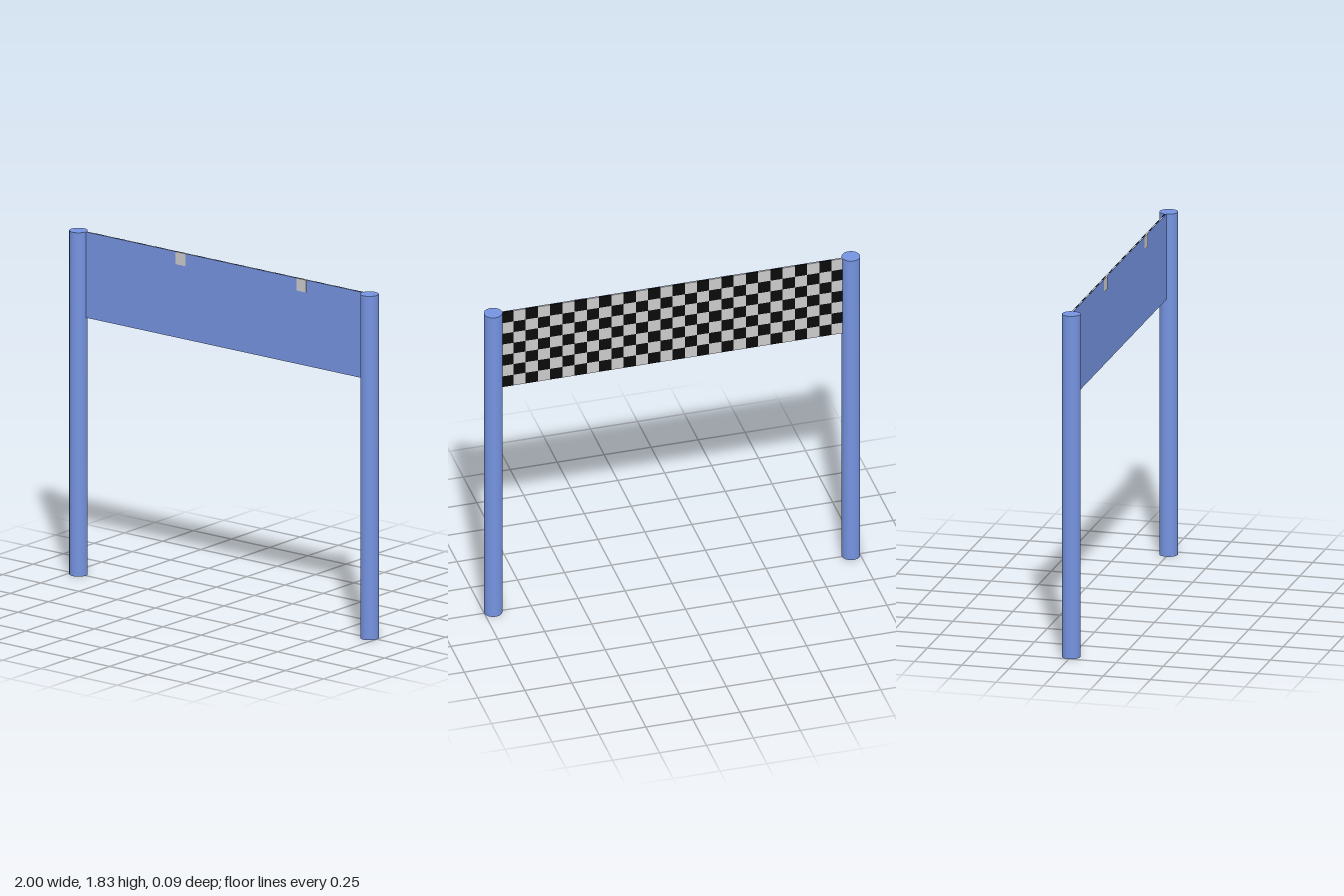
import * as THREE from 'three';
import { mergeGeometries } from 'three/addons/utils/BufferGeometryUtils.js';

const TOP = 1.828, BOTTOM = 1.372;
const COLS = 28, ROWS = 7, HALF = 0.912;
const POST_R = 0.0475;

export function createModel() {
  const model = new THREE.Group();
  model.name = 'finishGate';
  const blue = new THREE.MeshStandardMaterial({ color: 0x7593e0 });
  const black = new THREE.MeshStandardMaterial({ color: 0x0a0a0a });
  const light = new THREE.MeshStandardMaterial({ color: 0xcccccc });

  const add = (name, geometry, material) => {
    const mesh = new THREE.Mesh(geometry, material);
    mesh.name = name;
    model.add(mesh);
    return mesh;
  };
  // Box given by its centre in x and y and its range in z
  const slab = (w, h, x, y, z0, z1) =>
    new THREE.BoxGeometry(w, h, z1 - z0).translate(x, y, (z0 + z1) / 2);

  // Round posts
  for (const [name, side] of [['leftPost', 1], ['rightPost', -1]]) {
    const post = new THREE.CylinderGeometry(POST_R, POST_R, TOP, 32);
    add(name, post, blue).position.set(side * (1 - POST_R), TOP / 2, 0);
  }

  // Plain front of the banner
  const midY = (TOP + BOTTOM) / 2;
  add('bannerFront', slab(2 * HALF, TOP - BOTTOM, 0, midY, -0.003, 0), blue);

  // Chequered back of the banner
  const w = (2 * HALF) / COLS, h = (TOP - BOTTOM) / ROWS;
  const tiles = [[], []];
  for (let c = 0; c < COLS; c++) {
    for (let r = 0; r < ROWS; r++) {
      const x = -HALF + (c + 0.5) * w, y = BOTTOM + (r + 0.5) * h;
      tiles[(c + r) % 2].push(slab(w, h, x, y, -0.01, -0.003));
    }
  }
  add('lightTiles', mergeGeometries(tiles[0]), light);
  add('darkTiles', mergeGeometries(tiles[1]), black);

  // Two light squares on the front, along the top edge
  for (const x of [-0.284, 0.507]) {
    add('frontSquare', slab(0.064, 0.066, x, TOP - 0.033, -0.002, 0.002), light);
  }
  return model;
}
